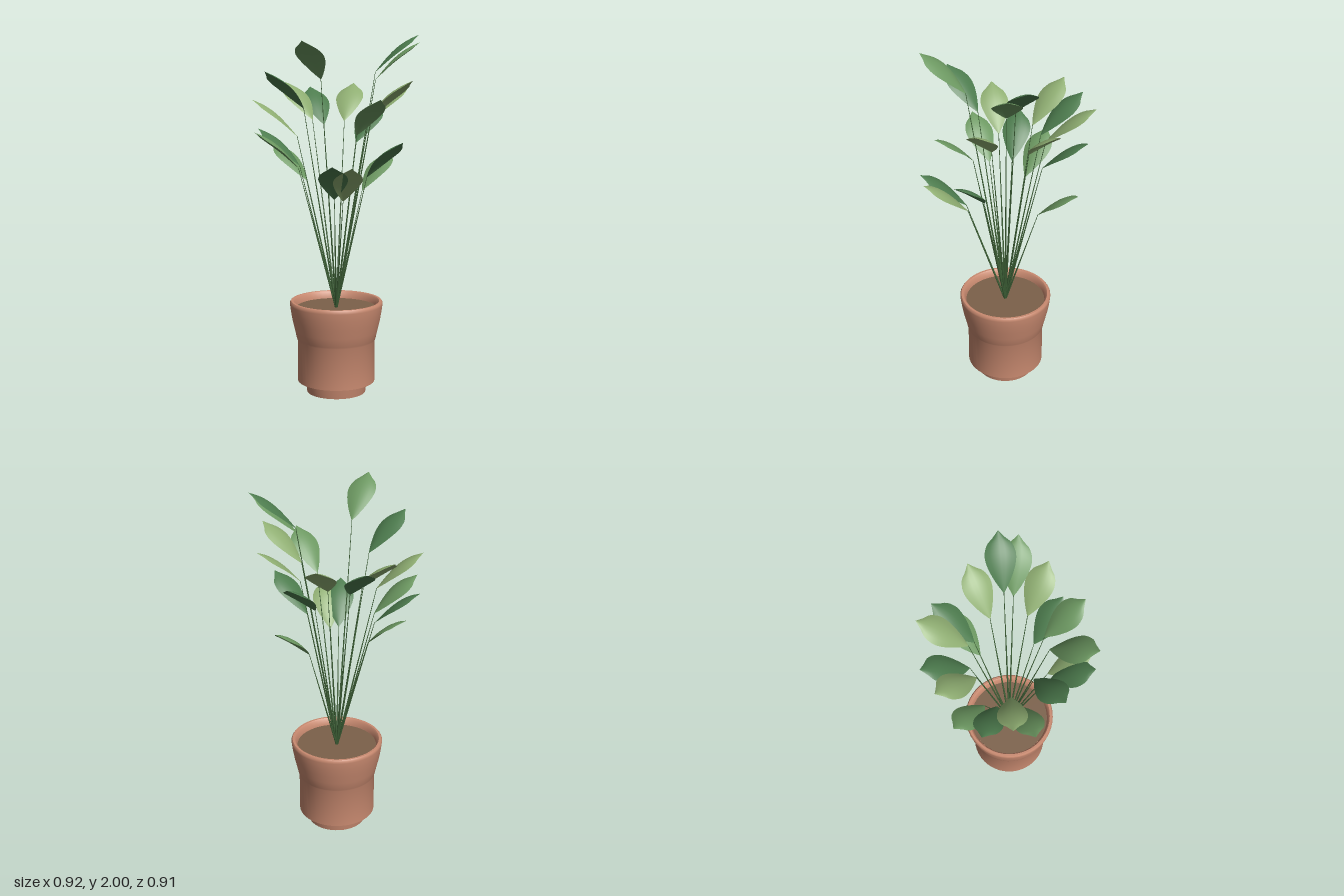
import * as THREE from 'three';
import { toCreasedNormals } from 'three/addons/utils/BufferGeometryUtils.js';

const paint = (color, side = THREE.FrontSide) => new THREE.MeshStandardMaterial({ color, side });
const V2 = (x, y) => new THREE.Vector2(x, y);

const greens = {
  dark: paint(0x4d7c4e, THREE.DoubleSide),
  mid: paint(0x6c9861, THREE.DoubleSide),
  light: paint(0x8fae72, THREE.DoubleSide),
};
const SOIL_Y = 0.485;
const BASE_RADIUS = 0.215;

// Each leaf: tip x, tip height, tip z, shade
const leaves = [
  [0.455, 2.0, -0.01, 'dark'], [0.445, 1.96, 0.09, 'mid'], [0.385, 1.76, 0.24, 'light'],
  [0.325, 1.44, 0.32, 'dark'], [0.195, 1.67, 0.41, 'mid'], [0.04, 1.32, 0.455, 'light'],
  [-0.06, 1.33, 0.455, 'dark'], [-0.21, 1.97, 0.41, 'mid'], [-0.395, 1.81, 0.235, 'dark'],
  [-0.45, 1.48, 0.09, 'mid'], [-0.46, 1.65, -0.025, 'light'], [-0.425, 1.48, -0.18, 'dark'],
  [-0.335, 1.39, -0.32, 'mid'], [-0.26, 1.73, -0.39, 'light'], [-0.115, 1.7, -0.455, 'dark'],
  [0.14, 1.72, -0.455, 'light'], [0.28, 1.6, -0.375, 'dark'], [0.345, 1.33, -0.31, 'mid'],
  [0.425, 1.73, -0.17, 'light'],
];

// Half-width of a leaf along its length
const outline = new THREE.SplineCurve([
  V2(0, 0.003), V2(0.18, 0.038), V2(0.4, 0.068), V2(0.6, 0.078),
  V2(0.78, 0.062), V2(0.88, 0.032), V2(1, 0.001),
]);

// Arched blade running along +x, its stalk end at the origin
function leafGeometry(length, rise) {
  const rows = 18, cols = 6, pos = [], index = [];
  for (let i = 0; i <= rows; i++) {
    const { x: t, y: half } = outline.getPoint(i / rows);
    for (let j = 0; j <= cols; j++) {
      const s = (j / cols) * 2 - 1;
      const droop = 0.3 * half * s * s;
      pos.push(length * t, rise * t + 0.032 * Math.sin(Math.PI * t) - droop, half * s);
      if (i < rows && j < cols) {
        const a = i * (cols + 1) + j, b = a + cols + 1;
        index.push(a, a + 1, b, b, a + 1, b + 1);
      }
    }
  }
  const g = new THREE.BufferGeometry();
  g.setAttribute('position', new THREE.Float32BufferAttribute(pos, 3));
  g.setIndex(index);
  g.computeVertexNormals();
  return g;
}

// Thin tapering stalk from the soil centre to the leaf
function stalkGeometry(end) {
  const start = new THREE.Vector3(0, SOIL_Y - 0.01, 0);
  const dir = end.clone().sub(start);
  const g = new THREE.CylinderGeometry(0.0015, 0.006, dir.length(), 6, 1);
  g.applyQuaternion(new THREE.Quaternion().setFromUnitVectors(
    new THREE.Vector3(0, 1, 0), dir.clone().normalize()));
  const mid = start.add(end).multiplyScalar(0.5);
  return g.translate(mid.x, mid.y, mid.z);
}

export function createModel() {
  const model = new THREE.Group();
  model.name = 'pottedPlant';
  const add = (parent, name, geometry, material) => {
    const mesh = new THREE.Mesh(geometry, material);
    mesh.name = name;
    parent.add(mesh);
    return mesh;
  };

  // Pot: foot, straight body, flared collar and rounded rim
  const profile = [
    V2(0, 0), V2(0.165, 0), V2(0.175, 0.065), V2(0.217, 0.065), V2(0.217, 0.3),
    V2(0.222, 0.31), V2(0.233, 0.36), V2(0.245, 0.41), V2(0.254, 0.46), V2(0.26, 0.505),
    V2(0.26, 0.518), V2(0.254, 0.526), V2(0.242, 0.526), V2(0.235, 0.519),
    V2(0.228, 0.49), V2(0.222, 0.46),
  ];
  const pot = toCreasedNormals(new THREE.LatheGeometry(profile, 48), 0.7);
  add(model, 'pot', pot, paint(0xc98a70, THREE.DoubleSide));

  // Soil
  const soil = new THREE.CylinderGeometry(0.226, 0.222, 0.02, 48);
  add(model, 'soil', soil.translate(0, SOIL_Y - 0.01, 0), paint(0x7c614a));

  // Foliage: a stalk and a leaf for every entry
  const foliage = new THREE.Group();
  foliage.name = 'foliage';
  model.add(foliage);
  const stalkPaint = paint(0x3f6338);
  const rise = 0.2;
  for (const [x, y, z, shade] of leaves) {
    const radius = Math.hypot(x, z), k = BASE_RADIUS / radius;
    const base = new THREE.Vector3(x * k, y - rise, z * k);
    add(foliage, 'stalk', stalkGeometry(base), stalkPaint);
    const leaf = add(foliage, 'leaf', leafGeometry(radius - BASE_RADIUS, rise), greens[shade]);
    leaf.position.copy(base);
    leaf.rotation.y = Math.atan2(-z, x);
  }
  return model;
}
